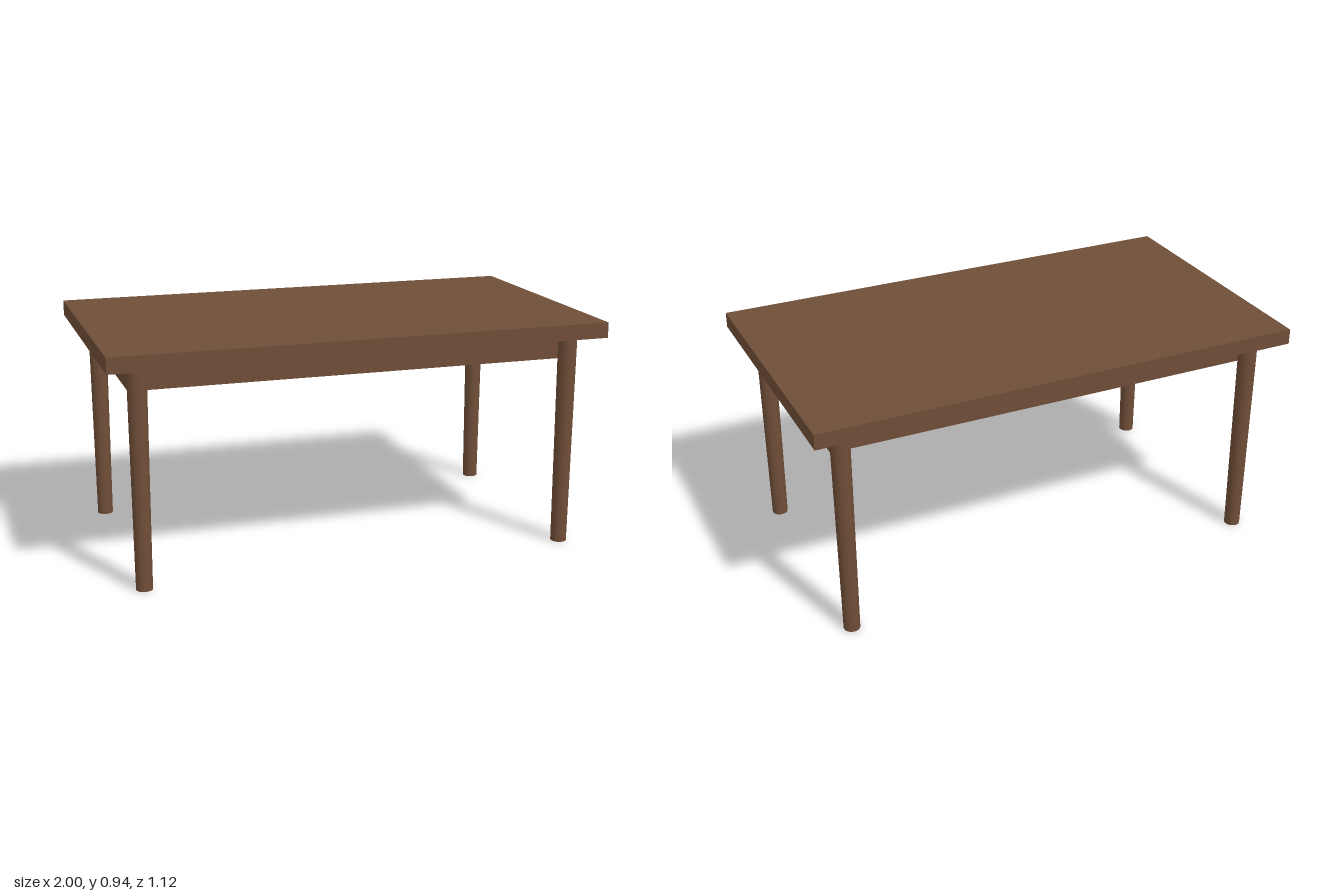
import * as THREE from 'three';

export function createModel() {
  const table = new THREE.Group();
  table.name = 'table';
  const wood = new THREE.MeshStandardMaterial({ color: 0x6f4e37 });
  wood.name = 'brown wood';

  const add = (name, geometry, x, y, z) => {
    const mesh = new THREE.Mesh(geometry, wood);
    mesh.name = name;
    mesh.position.set(x, y, z);
    table.add(mesh);
  };

  // Slab top and the solid apron block beneath it
  add('tabletop', new THREE.BoxGeometry(2, 0.0625, 1.125), 0, 0.90625, 0);
  add('apron', new THREE.BoxGeometry(1.81, 0.1, 0.875), 0, 0.825, 0);

  // Four round legs, tapering slightly towards the floor
  const legHeight = 0.875;
  const leg = new THREE.CylinderGeometry(0.038, 0.0325, legHeight, 24);
  for (const [side, sx] of [['Left', 1], ['Right', -1]]) {
    for (const [end, sz] of [['front', 1], ['back', -1]]) {
      add(`${end}${side}Leg`, leg, sx * 0.875, legHeight / 2, sz * 0.4625);
    }
  }
  return table;
}
